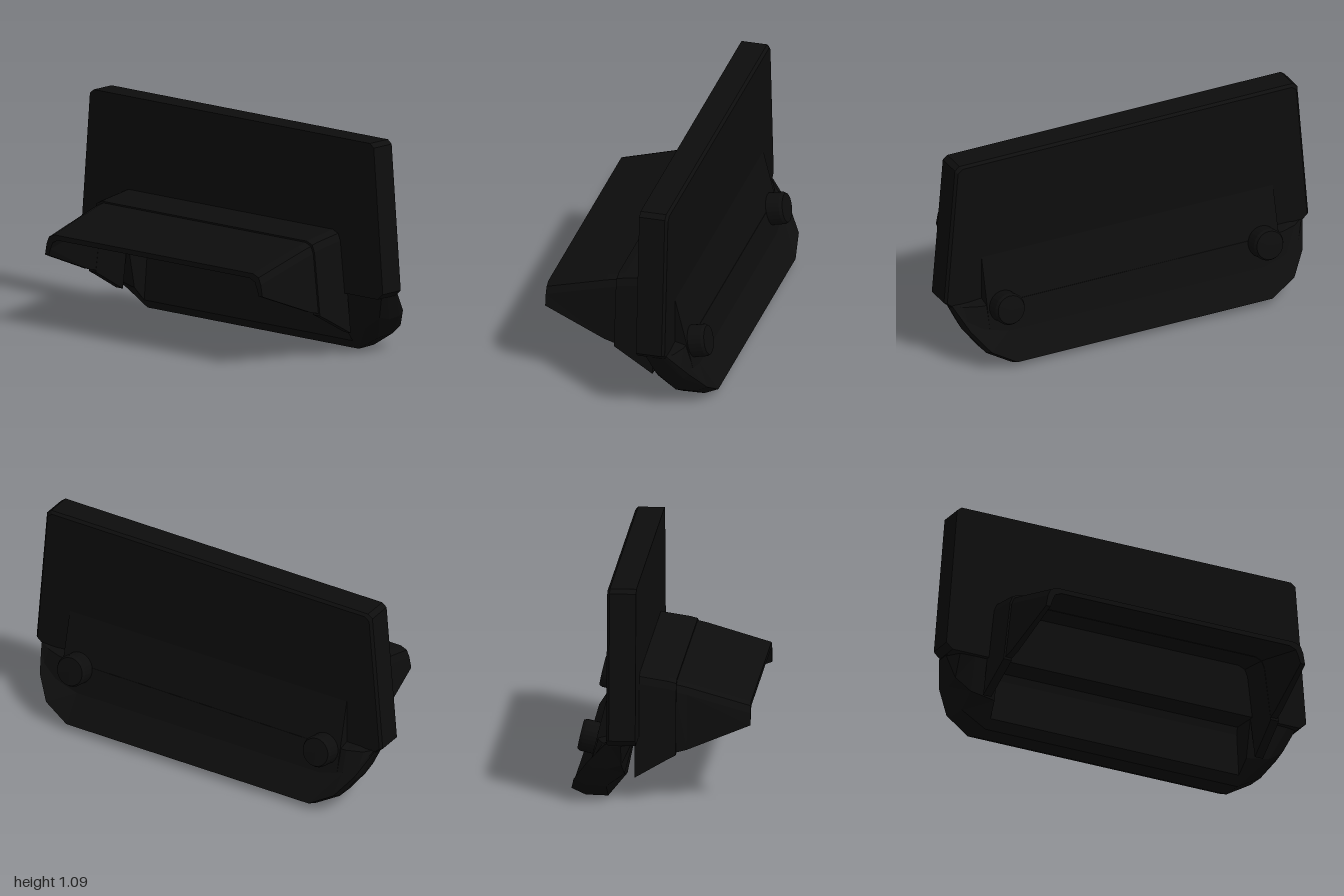
import * as THREE from 'three';

// Solid through matching cross-sections: each section is a list of [a, b] at a position t,
// and place(a, b, t) turns it into a point. Ends are capped.
function loft(sections, place) {
  const n = sections[0].pts.length, pts = [], faces = [];
  for (const s of sections) for (const [a, b] of s.pts) pts.push(place(a, b, s.t));
  for (let i = 0; i < sections.length - 1; i++) {
    for (let j = 0; j < n; j++) {
      const k = (j + 1) % n, p = i * n + j, q = i * n + k;
      faces.push([p, q, q + n], [p, q + n, p + n]);
    }
  }
  const cap = (s, off, flip) => {
    const flat = s.pts.map(([a, b]) => new THREE.Vector2(a, b));
    const ccw = THREE.ShapeUtils.area(flat) > 0;
    const order = flat.map((_, i) => (ccw ? i : n - 1 - i));
    for (const f of THREE.ShapeUtils.triangulateShape(order.map((i) => flat[i]), [])) {
      const [a, b, c] = f.map((i) => order[i] + off);
      faces.push(flip === ccw ? [a, c, b] : [a, b, c]);
    }
  };
  cap(sections[0], 0, true);
  cap(sections[sections.length - 1], (sections.length - 1) * n, false);
  // Turn the whole solid outward
  let volume = 0;
  for (const [a, b, c] of faces) volume += pts[a].dot(pts[b].clone().cross(pts[c]));
  const pos = [];
  for (const [a, b, c] of faces) {
    for (const i of volume < 0 ? [a, c, b] : [a, b, c]) pos.push(...pts[i].toArray());
  }
  const g = new THREE.BufferGeometry();
  g.setAttribute('position', new THREE.Float32BufferAttribute(pos, 3));
  g.computeVertexNormals();
  return g;
}

const alongZ = (x, y, z) => new THREE.Vector3(x, y, z);
const alongX = (z, y, x) => new THREE.Vector3(x, y, z);

// Downward-open arch with rounded upper corners
function arch(t, left, right, bottom, top, wall) {
  const outline = (inset) => {
    const l = left + inset, r = right - inset, y = top - inset;
    const lean = (top - bottom) * 0.1, c = 0.05;
    return [[l, bottom], [l + lean, y - c], [l + lean + 0.015, y - 0.015], [l + lean + c, y],
      [r - lean - c, y], [r - lean - 0.015, y - 0.015], [r - lean, y - c], [r, bottom]];
  };
  return { t, pts: [...outline(0), ...outline(wall).reverse()] };
}

export function createModel() {
  const group = new THREE.Group();
  const black = new THREE.MeshStandardMaterial({ color: 0x0d0d0d });
  black.name = 'black';
  const add = (name, geometry) => {
    const m = new THREE.Mesh(geometry, black);
    m.name = name;
    group.add(m);
    return m;
  };

  // Upright plate, with a small chamfer round its back
  const plate = [[-0.965, 0.31], [-1, 0.34], [-0.94, 1.065], [-0.915, 1.085],
    [0.915, 1.085], [0.94, 1.065], [1, 0.34], [0.965, 0.31]];
  const inset = plate.map(([x, y]) => [x * 0.988, y > 0.5 ? y - 0.013 : y]);
  add('uprightPlate', loft([{ t: -0.105, pts: plate }, { t: -0.235, pts: plate },
    { t: -0.248, pts: inset }], alongZ));

  // Tapered open hood and the collar joining it to the plate
  add('hood', loft([arch(0.44, -0.74, 0.7, 0.372, 0.48, 0.025),
    arch(0.13, -0.765, 0.735, 0.25, 0.568, 0.035),
    arch(0.07, -0.77, 0.74, 0.235, 0.582, 0.035)], alongZ));
  add('hoodCollar', loft([arch(0.077, -0.78, 0.75, 0.225, 0.588, 0.045),
    arch(0.04, -0.78, 0.755, 0.205, 0.597, 0.045),
    arch(-0.125, -0.785, 0.77, 0.11, 0.622, 0.045)], alongZ));

  // Sloping wedge behind the plate
  const wedge = [[-0.24, 0.585], [-0.345, 0.165], [-0.27, 0.12], [-0.24, 0.31]];
  add('backWedge', loft([{ t: -0.8, pts: wedge }, { t: 0.8, pts: wedge }], alongX));

  // Lower tray: hollow in the middle, solid and chamfered towards both ends
  const hollow = [[-0.24, 0.33], [-0.31, 0.31], [-0.345, 0.165], [-0.44, 0.035],
    [-0.37, 0.003], [-0.26, 0], [-0.225, 0.045], [-0.25, 0.31]];
  const solid = [...hollow.slice(0, 6), [-0.165, 0.115], [-0.125, 0.31]];
  const shoulder = [[-0.22, 0.33], [-0.3, 0.31], [-0.335, 0.2], [-0.42, 0.11],
    [-0.36, 0.08], [-0.26, 0.075], [-0.17, 0.14], [-0.125, 0.31]];
  const corner = [[-0.22, 0.33], [-0.27, 0.31], [-0.31, 0.25], [-0.35, 0.21],
    [-0.32, 0.185], [-0.25, 0.18], [-0.18, 0.2], [-0.13, 0.31]];
  const tip = [[-0.22, 0.33], [-0.24, 0.325], [-0.25, 0.32], [-0.255, 0.315],
    [-0.25, 0.31], [-0.23, 0.305], [-0.18, 0.305], [-0.14, 0.315]];
  const half = [[0.96, tip], [0.91, corner], [0.83, shoulder], [0.7, solid], [0.69, hollow]];
  add('lowerTray', loft([...half.map(([x, pts]) => ({ t: -x, pts })),
    ...half.map(([x, pts]) => ({ t: x, pts })).reverse()], alongX));

  // Two knobs standing square to the wedge
  const knobProfile = [[0, -0.06], [0.08, -0.06], [0.08, 0.035], [0.072, 0.05], [0, 0.052]]
    .map(([r, y]) => new THREE.Vector2(r, y));
  for (const side of [-1, 1]) {
    const knob = add(side > 0 ? 'leftKnob' : 'rightKnob',
      new THREE.LatheGeometry(knobProfile, 24).toNonIndexed());
    knob.geometry.computeVertexNormals();
    knob.position.set(side * 0.71, 0.297, -0.345);
    knob.quaternion.setFromUnitVectors(new THREE.Vector3(0, 1, 0),
      new THREE.Vector3(0, 0.22, -0.98).normalize());
  }
  return group;
}
